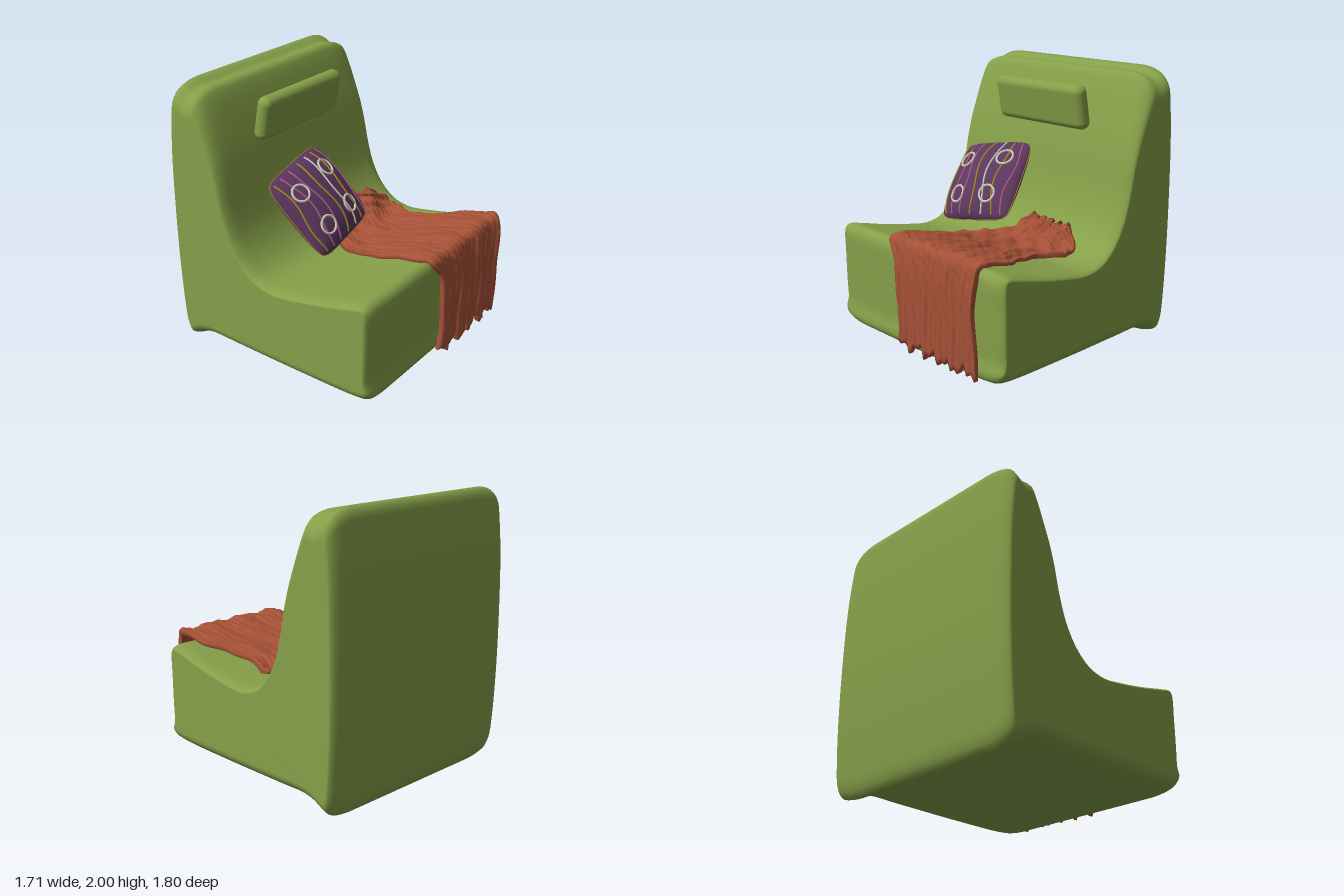
import * as THREE from 'three';
import { RoundedBoxGeometry } from 'three/addons/geometries/RoundedBoxGeometry.js';

const V3 = (x, y, z) => new THREE.Vector3(x, y, z);
const mat = (name, color, side = THREE.FrontSide) => {
  const m = new THREE.MeshStandardMaterial({ color, side });
  m.name = name;
  return m;
};
const { smoothstep, clamp, lerp } = THREE.MathUtils;

function buildGeometry(positions, index) {
  const g = new THREE.BufferGeometry();
  g.setAttribute('position', new THREE.Float32BufferAttribute(positions, 3));
  g.setIndex(index);
  g.computeVertexNormals();
  return g;
}

// Chair shell: side profile swept across x, rounded off towards both sides
function chairGeometry() {
  const profile = [ // z, y
    [-0.82, 2.0], [-0.78, 1.985], [-0.73, 1.957], [-0.69, 1.968], [-0.65, 1.965], [-0.61, 1.9], [-0.5, 1.58],
    [-0.45, 1.38], [-0.4, 1.14], [-0.34, 0.96], [-0.25, 0.82], [-0.14, 0.735], [0, 0.705], [0.2, 0.73],
    [0.45, 0.78], [0.65, 0.83], [0.74, 0.845], [0.78, 0.81], [0.787, 0.6], [0.785, 0.4], [0.782, 0.25],
    [0.798, 0.14], [0.765, 0.095], [0.68, 0.078], [0.2, 0.072], [-0.4, 0.08], [-0.6, 0.083], [-0.7, 0.06],
    [-0.78, 0.018], [-0.825, 0.003], [-0.86, 0.06], [-0.885, 0.3], [-0.902, 0.7], [-0.902, 1.2], [-0.89, 1.6],
    [-0.87, 1.86], [-0.853, 1.965],
  ];
  const curve = new THREE.CatmullRomCurve3(profile.map(([z, y]) => V3(0, y, z)), true);
  const N = 220, W = 0.855;
  const pts = curve.getSpacedPoints(N).slice(0, N);
  const half = [0, 0.3, 0.6];
  for (let i = 1; i <= 16; i++) half.push(0.6 + 0.255 * Math.sin((i / 16) * Math.PI / 2));
  const xs = [...half.slice(1).reverse().map(x => -x), ...half];
  const pos = [], idx = [];
  const round = s => 1 - Math.sqrt(Math.max(0, 1 - s * s));
  for (const x of xs) {
    const wide = round(clamp((Math.abs(x) - 0.6) / (W - 0.6), 0, 1));
    const inset = 0.035 * round(clamp((Math.abs(x) - 0.75) / (W - 0.75), 0, 1));
    pts.forEach((p, j) => {
      const t = pts[(j + 1) % N].clone().sub(pts[(j + N - 1) % N]).normalize();
      let y = p.y - inset * t.z, z = p.z + inset * -t.y * -1;
      y += wide * (0.09 * (1 - smoothstep(p.y, 0, 0.35)) - 0.145 * smoothstep(p.y, 1.2, 2));
      pos.push(x, y, z);
    });
  }
  for (let i = 0; i < xs.length - 1; i++) {
    for (let j = 0; j < N; j++) {
      const a = i * N + j, c = i * N + (j + 1) % N;
      idx.push(a, c, a + N, a + N, c, c + N);
    }
  }
  // flat side panels
  for (const [base, sign] of [[0, -1], [(xs.length - 1) * N, 1]]) {
    const ring = pts.map((_, j) => new THREE.Vector2(pos[(base + j) * 3 + 2], pos[(base + j) * 3 + 1]));
    for (const [a, b, c] of THREE.ShapeUtils.triangulateShape(ring, [])) {
      const area = ring[b].clone().sub(ring[a]).cross(ring[c].clone().sub(ring[a]));
      if (area * sign < 0) idx.push(base + a, base + b, base + c);
      else idx.push(base + a, base + c, base + b);
    }
  }
  return buildGeometry(pos, idx);
}

// Point on the cushion, with a and b running from -1 to 1
function cushionPoint(a, b, side = 1, lift = 0) {
  const corner = 1 - 0.09 * Math.pow(Math.abs(a * b), 5);
  const puff = Math.pow(Math.max(0, (1 - a * a) * (1 - b * b)), 0.55);
  return V3(a * 0.325 * corner, b * 0.325 * corner, side * (0.118 * puff + lift));
}

function cushionSide(side) {
  const g = new THREE.PlaneGeometry(2, 2, 36, 36);
  const p = g.attributes.position;
  for (let i = 0; i < p.count; i++) {
    const a = Math.sin(p.getX(i) * Math.PI / 2), b = Math.sin(p.getY(i) * Math.PI / 2);
    const q = cushionPoint(a, b, side);
    p.setXYZ(i, q.x, q.y, q.z);
  }
  if (side < 0) g.setIndex(Array.from(g.index.array).reverse());
  g.computeVertexNormals();
  return g;
}

function createCushion() {
  const cushion = new THREE.Group();
  cushion.name = 'cushion';
  const purple = mat('purple fabric', 0x5c365f);
  const yellow = mat('mustard thread', 0xa68c22);
  const pink = mat('pink thread', 0xa5607f);
  const cream = mat('cream thread', 0xcfd0bd);
  const add = (name, geo, m) => {
    const mesh = new THREE.Mesh(geo, m);
    mesh.name = name;
    cushion.add(mesh);
  };
  const cord = (name, points, radius, m, closed = false) =>
    add(name, new THREE.TubeGeometry(new THREE.CatmullRomCurve3(points, closed), 60, radius, 6, closed), m);

  add('cushionFront', cushionSide(1), purple);
  add('cushionBack', cushionSide(-1), purple);

  // wavy cords down the front
  [yellow, pink, pink, yellow, cream, yellow, pink].forEach((m, i) => {
    const a0 = -0.84 + i * 0.28, points = [];
    for (let k = 0; k <= 20; k++) {
      const b = -0.92 + 1.84 * k / 20;
      points.push(cushionPoint(a0 + 0.045 * Math.sin(b * 4 + i * 1.1), b, 1, 0.002));
    }
    cord('cushionCord', points, 0.007, m);
  });
  // embroidered rings
  for (const [x, y] of [[-0.54, 0.42], [-0.47, -0.48], [0.54, 0.47], [0.41, -0.47]]) {
    const points = [];
    for (let k = 0; k < 24; k++) {
      const t = k / 24 * Math.PI * 2;
      points.push(cushionPoint(x + 0.19 * Math.cos(t), y + 0.19 * Math.sin(t), 1, 0.002));
    }
    cord('cushionRing', points, 0.009, cream, true);
  }
  // piping along the seam
  const rim = [];
  for (let k = 0; k < 4; k++) {
    for (let j = 0; j < 10; j++) {
      const e = -1 + j / 5;
      const [a, b] = [[e, -1], [1, e], [-e, 1], [-1, -e]][k];
      rim.push(cushionPoint(a, b));
    }
  }
  cord('cushionPiping', rim, 0.004, yellow, true);

  const u = V3(0.98, 0.16, -0.11).normalize();
  const n = u.clone().cross(V3(-0.17, 0.76, -0.625)).normalize();
  const v = n.clone().cross(u);
  cushion.quaternion.setFromRotationMatrix(new THREE.Matrix4().makeBasis(u, v, n));
  cushion.position.set(-0.225, 1.125, -0.085);
  return cushion;
}

// Ribbed throw: two edge curves joined by a wrinkled, closed cross-section
function blanketGeometry() {
  const rows = [ // left x, right x, y, left z, right z
    [-0.1, 0.69, 0.16, 0.86, 0.86], [-0.08, 0.68, 0.5, 0.865, 0.865], [-0.12, 0.69, 0.78, 0.86, 0.86],
    [-0.19, 0.72, 0.9, 0.83, 0.83], [-0.2, 0.72, 0.905, 0.75, 0.75], [-0.2, 0.7, 0.87, 0.57, 0.57],
    [-0.21, 0.62, 0.83, 0.4, 0.4], [-0.2, 0.57, 0.79, 0.22, 0.22], [-0.15, 0.63, 0.765, 0.05, 0.03],
    [-0.05, 0.66, 0.78, -0.1, -0.05], [0.03, 0.62, 0.85, -0.19, -0.12], [0.1, 0.55, 0.9, -0.25, -0.19],
  ];
  const left = new THREE.CatmullRomCurve3(rows.map(r => V3(r[0], r[2], r[3])));
  const right = new THREE.CatmullRomCurve3(rows.map(r => V3(r[1], r[2], r[4])));
  const S = 110, RIBS = 17, T = RIBS * 6, ring = 2 * (T + 1);
  const pos = [], idx = [];
  for (let i = 0; i <= S; i++) {
    const s = i / S;
    const l = left.getPoint(s), r = right.getPoint(s);
    const tan = left.getTangent(s);
    const n = V3(0, -tan.z, tan.y).normalize();
    const loose = smoothstep(s, 0.4, 0.85);
    for (let k = 0; k < ring; k++) {
      const top = k <= T, t = (top ? k : ring - 1 - k) / T;
      const fold = 0.008 * Math.sin(t * 19 + Math.sin(s * 9) * 1.5) + 0.006 * Math.sin(t * 37 + s * 14)
        + loose * (0.018 * Math.sin(t * 13 - s * 16) + 0.009 * Math.sin(s * 70 + t * 21));
      const rib = 0.009 * Math.abs(Math.sin(t * RIBS * Math.PI)) * (0.75 + 0.25 * Math.sin(s * 120 + t * 50));
      const p = l.clone().lerp(r, t);
      p.addScaledVector(n, top ? 0.012 + fold + rib : -0.014 + fold * 0.5);
      p.x += 0.008 * Math.sin(s * 45 + t * 6);
      // ragged ends
      const ragged = 0.028 * Math.sin(t * 31) + 0.02 * Math.sin(t * 67 + 1);
      p.addScaledVector(tan, ragged * (Math.max(0, 1 - s / 0.08) + 0.6 * Math.max(0, (s - 0.92) / 0.08)));
      pos.push(p.x, p.y, p.z);
    }
  }
  for (let i = 0; i < S; i++) {
    for (let k = 0; k < ring; k++) {
      const a = i * ring + k, b = i * ring + (k + 1) % ring;
      idx.push(a, b, a + ring, b, b + ring, a + ring);
    }
  }
  // close both ends
  for (const base of [0, S * ring]) {
    for (let k = 0; k < T; k++) {
      const a = base + k, b = a + 1, c = base + ring - 1 - k, d = c - 1;
      if (base === 0) idx.push(a, c, b, b, c, d);
      else idx.push(a, b, c, b, d, c);
    }
  }
  return buildGeometry(pos, idx);
}

export function createModel() {
  const model = new THREE.Group();
  model.name = 'armchair';
  const green = mat('green upholstery', 0x86a049);
  const rust = mat('rust wool', 0xa65137, THREE.DoubleSide);

  const chair = new THREE.Mesh(chairGeometry(), green);
  chair.name = 'chairBody';

  const headrest = new THREE.Mesh(new RoundedBoxGeometry(0.855, 0.325, 0.115, 6, 0.055), green);
  headrest.name = 'headrest';
  headrest.position.set(-0.002, 1.708, -0.435);
  headrest.rotation.x = 0.19;

  const blanket = new THREE.Mesh(blanketGeometry(), rust);
  blanket.name = 'blanket';

  model.add(chair, headrest, createCushion(), blanket);
  return model;
}
